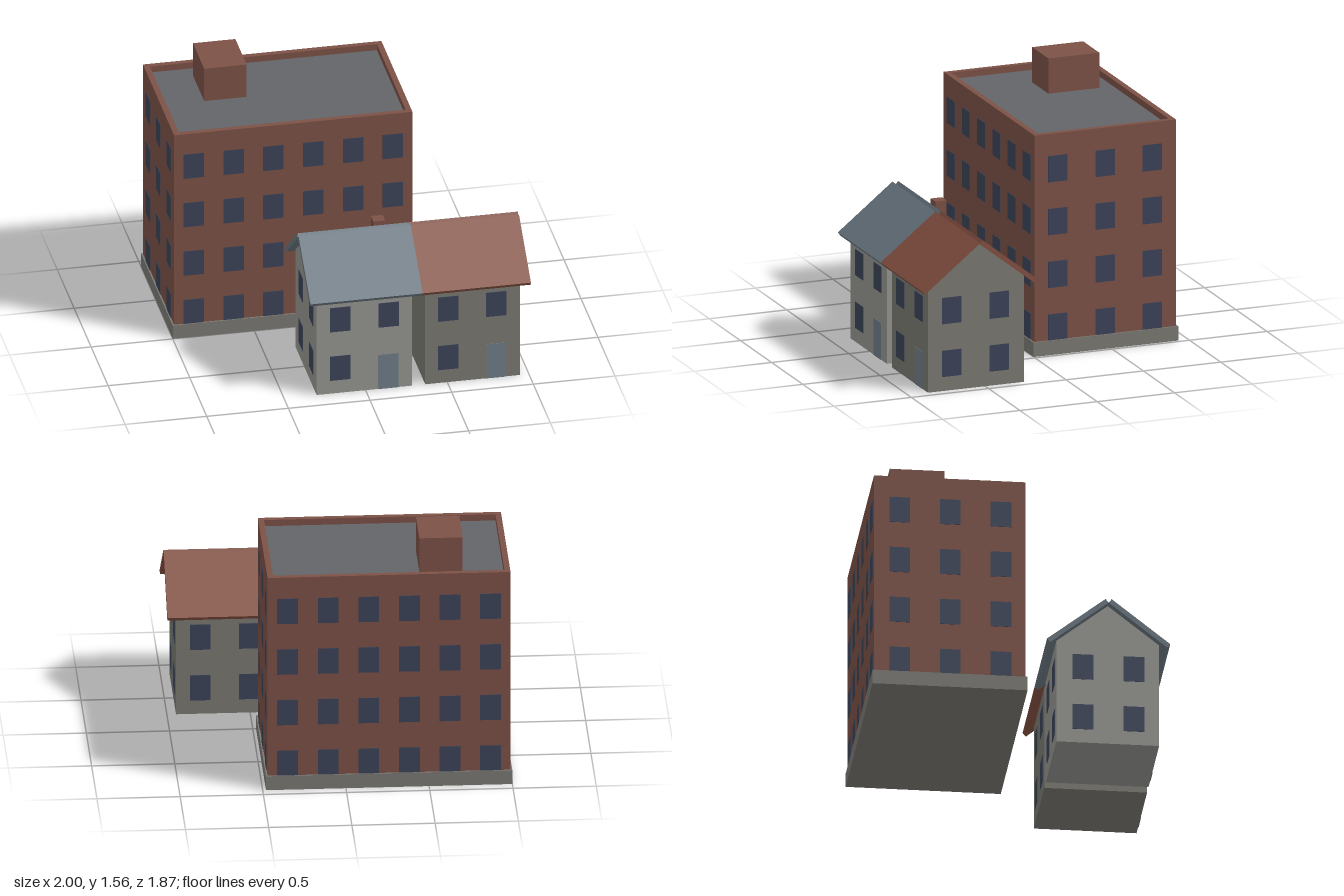
import * as THREE from 'three';

const mat = (color) => new THREE.MeshStandardMaterial({ color, flatShading: true });
const M = {
  brick: mat(0x7c5146), stone: mat(0x7a7973), deck: mat(0x636568), glass: mat(0x3b4358),
  door: mat(0x6f7c87), slate: mat(0x68757f), tile: mat(0x844f40),
  paleWall: mat(0x959590), darkWall: mat(0x7a7972),
};

function add(parent, name, geometry, material) {
  const mesh = new THREE.Mesh(geometry, material);
  mesh.name = name;
  parent.add(mesh);
  return mesh;
}

// Box given by its minimum and maximum corners
function box(parent, name, material, [x0, y0, z0], [x1, y1, z1]) {
  const mesh = add(parent, name, new THREE.BoxGeometry(x1 - x0, y1 - y0, z1 - z0), material);
  mesh.position.set((x0 + x1) / 2, (y0 + y1) / 2, (z0 + z1) / 2);
  return mesh;
}

// Thin panel on a wall, facing along x or z
function panel(parent, name, material, axis, x, y, z, w, h) {
  const t = 0.006;
  const geometry = axis === 'x' ? new THREE.BoxGeometry(t, h, w) : new THREE.BoxGeometry(w, h, t);
  add(parent, name, geometry, material).position.set(x, y, z);
}

const WIN_W = 0.125, WIN_H = 0.164;
const ROWS = [0.17, 0.5, 0.83, 1.16];
const win = (parent, axis, x, y, z) => panel(parent, 'window', M.glass, axis, x, y, z, WIN_W, WIN_H);

function apartmentBlock() {
  const g = new THREE.Group();
  g.name = 'apartmentBlock';
  const x0 = -0.99, x1 = 0.47, z0 = -0.925, z1 = -0.01, wall = 0.035;
  const rect = (Type, m) => new Type([
    [x0 + m, -z1 + m], [x1 - m, -z1 + m], [x1 - m, -z0 - m], [x0 + m, -z0 - m],
  ].map(([x, y]) => new THREE.Vector2(x, y)));

  // Walls rise past the deck to make the parapet
  const outline = rect(THREE.Shape, 0);
  outline.holes.push(rect(THREE.Path, wall));
  const walls = new THREE.ExtrudeGeometry(outline, { depth: 1.37, bevelEnabled: false });
  walls.rotateX(-Math.PI / 2).translate(0, 0.01, 0);
  add(g, 'brickWalls', walls, M.brick);
  box(g, 'roofDeck', M.deck, [x0 + wall, 1.3, z0 + wall], [x1 - wall, 1.34, z1 - wall]);
  box(g, 'plinth', M.stone, [-1, 0, -0.935], [0.48, 0.09, 0]);
  box(g, 'rooftopHut', M.brick, [-0.71, 1.33, -0.8], [-0.45, 1.56, -0.47]);

  // Windows on all four sides
  for (const y of ROWS) {
    for (let i = 0; i < 6; i++) {
      const x = -0.87 + i * 0.244;
      win(g, 'z', x, y, z1);
      win(g, 'z', x, y, z0);
    }
    for (const z of [-0.16, -0.465, -0.77]) {
      win(g, 'x', x0, y, z);
      win(g, 'x', x1, y, z);
    }
  }
  return g;
}

const HOUSE = { back: 0.25, front: 0.87, ridgeZ: 0.56, eaveY: 0.665, ridgeY: 0.91 };

function house(name, x0, x1, roofX0, roofX1, columns, outerX, wallMat, roofMat) {
  const g = new THREE.Group();
  g.name = name;
  const { back, front, ridgeZ, eaveY, ridgeY } = HOUSE;

  // Gabled body, drawn in the z-y plane and extruded along x
  const gable = new THREE.Shape([
    [-front, 0], [-back, 0], [-back, eaveY], [-ridgeZ, ridgeY], [-front, eaveY],
  ].map(([x, y]) => new THREE.Vector2(x, y)));
  const body = new THREE.ExtrudeGeometry(gable, { depth: x1 - x0, bevelEnabled: false });
  body.rotateY(Math.PI / 2).translate(x0, 0, 0);
  add(g, 'gabledWalls', body, wallMat);

  // Two roof slabs meeting at their lower ridge edges
  const angle = Math.atan2(ridgeY - eaveY, front - ridgeZ);
  for (const side of [1, -1]) {
    const length = 0.45, thick = 0.03;
    const slab = new THREE.BoxGeometry(roofX1 - roofX0, thick, length);
    slab.translate(0, thick / 2, side * length / 2).rotateX(side * angle);
    add(g, side > 0 ? 'frontRoof' : 'backRoof', slab, roofMat)
      .position.set((roofX0 + roofX1) / 2, ridgeY, ridgeZ);
  }

  // Windows and the front door
  columns.forEach((x, i) => {
    for (const y of ROWS.slice(0, 2)) {
      win(g, 'z', x, y, back);
      if (i === 0 || y > 0.4) win(g, 'z', x, y, front);
    }
  });
  panel(g, 'door', M.door, 'z', columns[1], 0.116, front, 0.12, 0.232);
  for (const y of ROWS.slice(0, 2)) for (const z of [0.41, 0.718]) win(g, 'x', outerX, y, z);
  return g;
}

export function createModel() {
  const model = new THREE.Group();
  model.name = 'buildings';
  model.add(apartmentBlock());
  const left = house('slateHouse', -0.3, 0.285, -0.35, 0.337, [-0.155, 0.14], -0.3, M.paleWall, M.slate);
  box(left, 'chimney', M.brick, [0.12, 0.78, 0.447], [0.193, 0.95, 0.52]);
  model.add(left);
  model.add(house('tileHouse', 0.365, 0.945, 0.337, 1, [0.505, 0.8], 0.945, M.darkWall, M.tile));
  return model;
}
